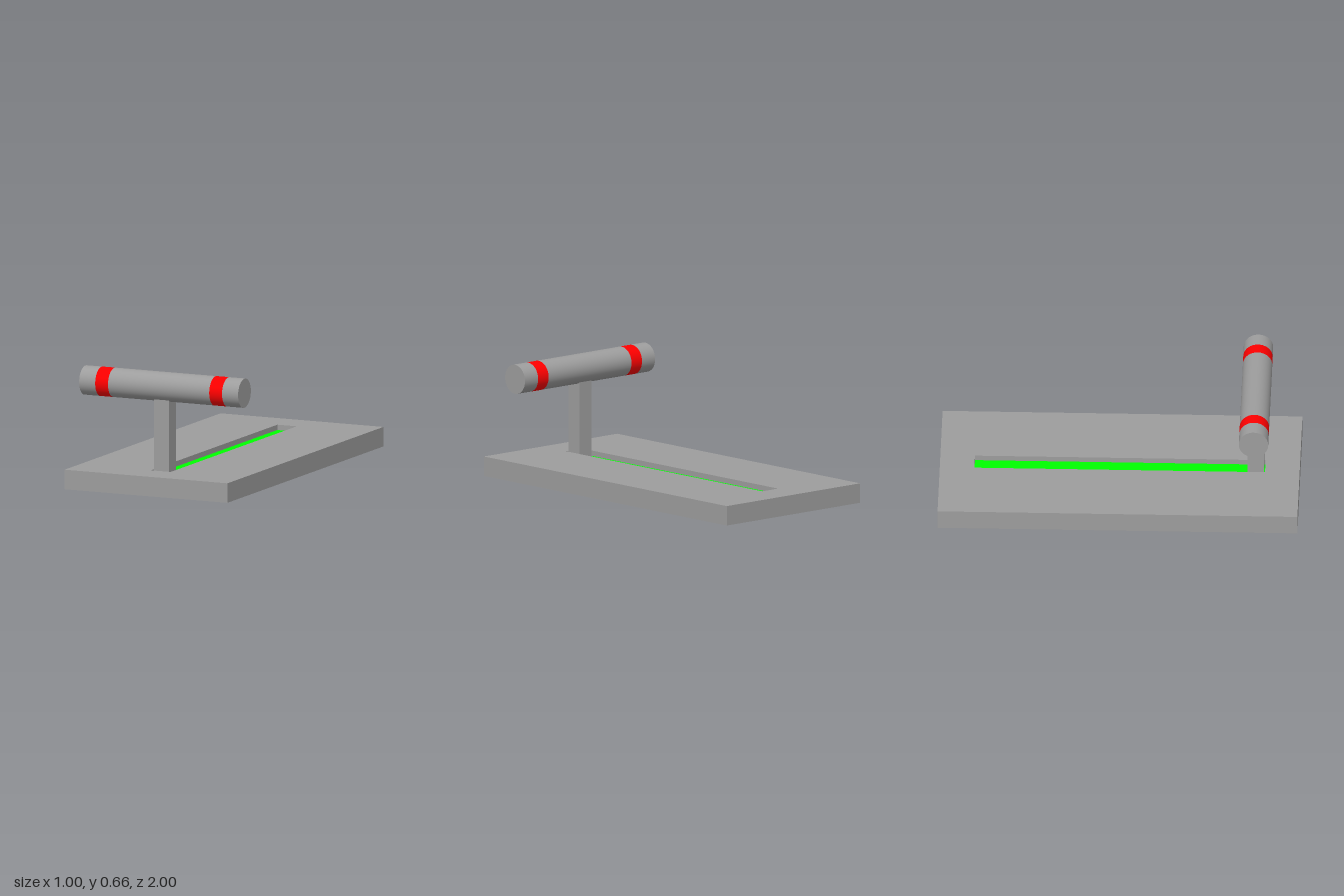
import * as THREE from 'three';

const grey = new THREE.MeshStandardMaterial({ color: 0x9d9d9d });
const red = new THREE.MeshStandardMaterial({ color: 0xff0000 });
const green = new THREE.MeshStandardMaterial({ color: 0x00ff00 });

// Rectangle outline centred on the origin
function rectangle(PathType, halfW, halfL) {
  return new PathType([
    [-halfW, -halfL], [halfW, -halfL], [halfW, halfL], [-halfW, halfL],
  ].map(([x, y]) => new THREE.Vector2(x, y)));
}

function addMesh(parent, name, geometry, material) {
  const mesh = new THREE.Mesh(geometry, material);
  mesh.name = name;
  parent.add(mesh);
  return mesh;
}

export function createModel() {
  const model = new THREE.Group();
  model.name = 'slidingHandle';

  const baseHeight = 0.11, slotDepth = 0.03;
  const slotHalfW = 0.06, slotHalfL = 0.808;

  // Base plate with a long slot
  const outline = rectangle(THREE.Shape, 0.502, 1);
  outline.holes.push(rectangle(THREE.Path, slotHalfW, slotHalfL));
  const plate = new THREE.ExtrudeGeometry(outline, { depth: baseHeight, bevelEnabled: false });
  addMesh(model, 'basePlate', plate.rotateX(-Math.PI / 2), grey);

  // Coloured slot floor, and the cover that closes the underside
  const slotPlane = () => new THREE.PlaneGeometry(2 * slotHalfW, 2 * slotHalfL);
  const floor = addMesh(model, 'slotFloor', slotPlane().rotateX(-Math.PI / 2), green);
  floor.position.y = baseHeight - slotDepth;
  addMesh(model, 'slotUnderside', slotPlane().rotateX(Math.PI / 2), grey);

  // Slider: post and crossbar near the front end of the slot
  const slider = new THREE.Group();
  slider.name = 'slider';
  slider.position.z = 0.756;
  model.add(slider);

  const postBottom = baseHeight - slotDepth, postTop = 0.54;
  const post = addMesh(slider, 'post',
    new THREE.BoxGeometry(0.09, postTop - postBottom, 0.09), grey);
  post.position.y = (postTop + postBottom) / 2;

  // Crossbar in flush sections along x
  const radius = 0.082, barY = 0.579, barHalf = 0.49;
  const barSection = (name, x0, x1, material) => {
    const geometry = new THREE.CylinderGeometry(radius, radius, x1 - x0, 48, 1, true);
    const mesh = addMesh(slider, name, geometry.rotateZ(-Math.PI / 2), material);
    mesh.position.set((x0 + x1) / 2, barY, 0);
  };
  barSection('crossbarMiddle', -0.312, 0.312, grey);
  for (const [side, s] of [['left', 1], ['right', -1]]) {
    const span = (a, b) => (s > 0 ? [a, b] : [-b, -a]);
    barSection(side + 'Band', ...span(0.312, 0.391), red);
    barSection(side + 'BarEnd', ...span(0.391, barHalf), grey);
    const cap = addMesh(slider, side + 'EndCap',
      new THREE.CircleGeometry(radius, 48).rotateY(s * Math.PI / 2), grey);
    cap.position.set(s * barHalf, barY, 0);
  }

  return model;
}
